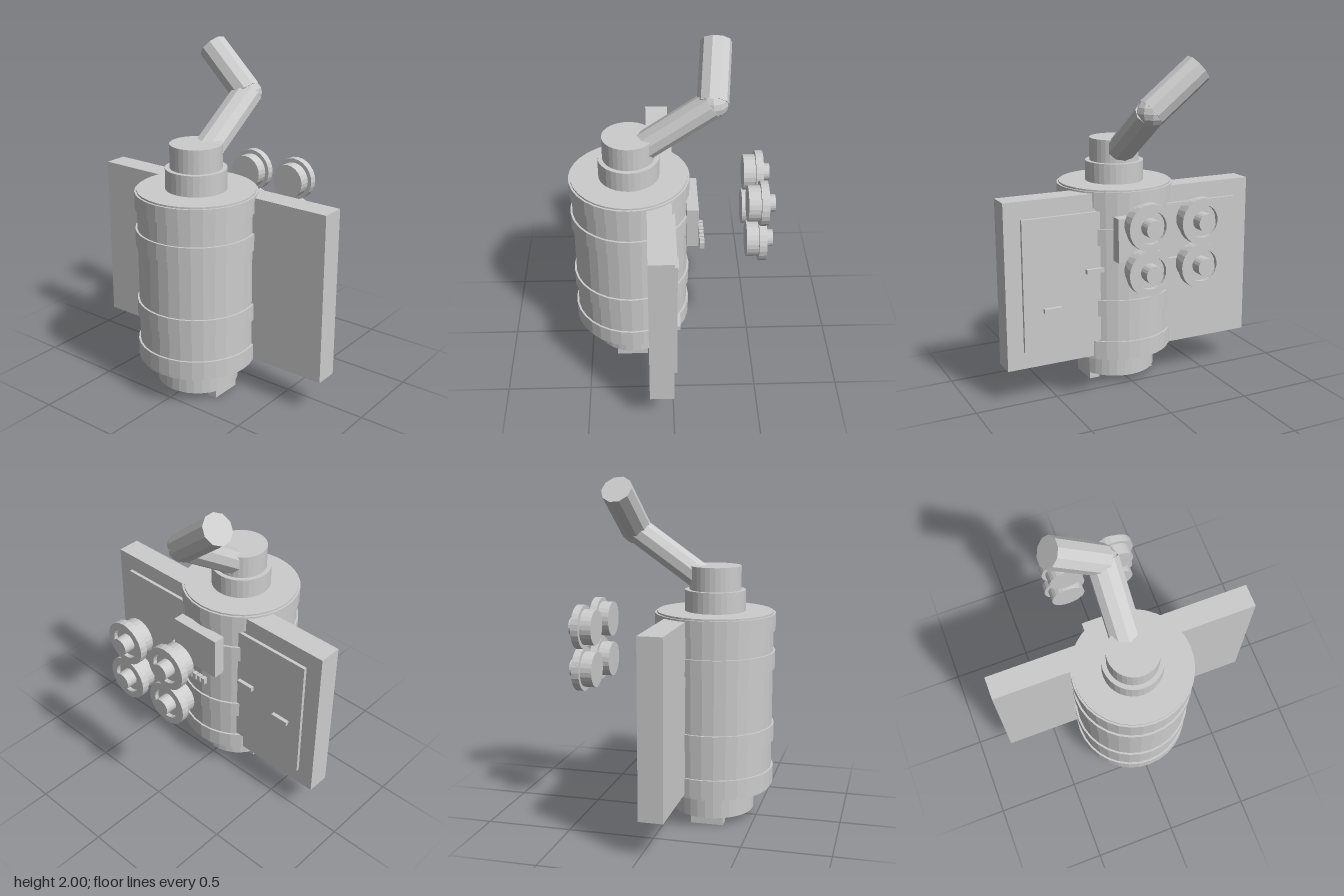
import * as THREE from 'three';

export function createModel() {
  const model = new THREE.Group();
  const grey = new THREE.MeshStandardMaterial({ color: 0xcccccc, flatShading: true });
  grey.name = 'light grey';

  const add = (name, geometry, x, y, z, parent = model) => {
    const mesh = new THREE.Mesh(geometry, grey);
    mesh.name = name;
    mesh.position.set(x, y, z);
    parent.add(mesh);
    return mesh;
  };
  // Box given by its limits on each axis
  const box = (name, x0, x1, y0, y1, z0, z1) =>
    add(name, new THREE.BoxGeometry(x1 - x0, y1 - y0, z1 - z0),
      (x0 + x1) / 2, (y0 + y1) / 2, (z0 + z1) / 2);

  // Upright tank with its bands, base and stacked collars
  const tankZ = 0.24;
  const drum = (name, r, y0, y1) =>
    add(name, new THREE.CylinderGeometry(r, r, y1 - y0, 32), 0, (y0 + y1) / 2, tankZ);
  drum('tank', 0.34, 0.19, 1.235);
  for (const [y0, y1] of [[0.21, 0.31], [0.47, 0.57], [0.905, 1.005], [1.127, 1.225]])
    drum('tankBand', 0.352, y0, y1);
  drum('base', 0.24, 0.045, 0.19);
  drum('lowerCollar', 0.177, 1.235, 1.357);
  drum('upperCollar', 0.15, 1.357, 1.495);
  for (const s of [-1, 1])
    box('foot', s * 0.185 - 0.032, s * 0.185 + 0.032, 0, 0.047, 0.15, 0.34);

  // Wide mounting plate and the raised panels on its back
  box('mountingPlate', -0.8, 0.8, 0.215, 1.215, 0, 0.14);
  box('rightPanel', -0.7, -0.12, 0.32, 1.11, -0.02, 0);
  box('leftPanel', 0.12, 0.7, 0.32, 1.11, -0.02, 0);
  for (const [x, y] of [[-0.56, 0.66], [-0.29, 0.76], [0.257, 0.76], [0.525, 0.56]])
    box('latch', x - 0.055, x + 0.055, y - 0.013, y + 0.013, -0.043, -0.02);

  // Control block and the row of pegs beneath it
  box('controlBlock', -0.165, 0.165, 0.825, 1.087, -0.16, -0.09);
  for (let i = -3; i <= 3; i++)
    box('peg', i * 0.034 - 0.012, i * 0.034 + 0.012, 0.765, 0.807, -0.202, -0.175);

  // Bent pipe leaving the upper collar
  const pipe = (name, a, b, r, squash) => {
    const dir = b.clone().sub(a);
    const mid = a.clone().add(b).multiplyScalar(0.5);
    const mesh = add(name, new THREE.CylinderGeometry(r, r, dir.length(), 10), mid.x, mid.y, mid.z);
    mesh.quaternion.setFromUnitVectors(new THREE.Vector3(0, 1, 0), dir.normalize());
    mesh.scale.z = squash;
  };
  const elbow = new THREE.Vector3(0, 1.695, -0.235);
  pipe('lowerPipe', new THREE.Vector3(0, 1.39, 0.2), elbow, 0.095, 0.84);
  pipe('upperPipe', elbow, new THREE.Vector3(-0.28, 1.932, -0.265), 0.09, 1);
  add('pipeElbow', new THREE.SphereGeometry(0.087, 10, 8), elbow.x, elbow.y, elbow.z);

  // Four round dials behind the tank: drum, recessed flange and knob
  const dialProfile = [[0, 0], [0.106, 0], [0.106, 0.07], [0.131, 0.07], [0.131, 0.115],
    [0.09, 0.115], [0.09, 0.09], [0, 0.09]].map(([r, y]) => new THREE.Vector2(r, y));
  const dialBody = new THREE.LatheGeometry(dialProfile, 24);
  const knob = new THREE.CylinderGeometry(0.051, 0.051, 0.07, 20);
  for (const x of [-0.16, 0.16]) {
    for (const y of [0.876, 1.128]) {
      const dial = new THREE.Group();
      dial.name = 'dial';
      add('dialBody', dialBody, 0, 0, 0, dial);
      add('dialKnob', knob, 0, 0.123, 0, dial);
      dial.rotation.x = -Math.PI / 2;
      dial.position.set(x, y, -0.437);
      model.add(dial);
    }
  }
  return model;
}
